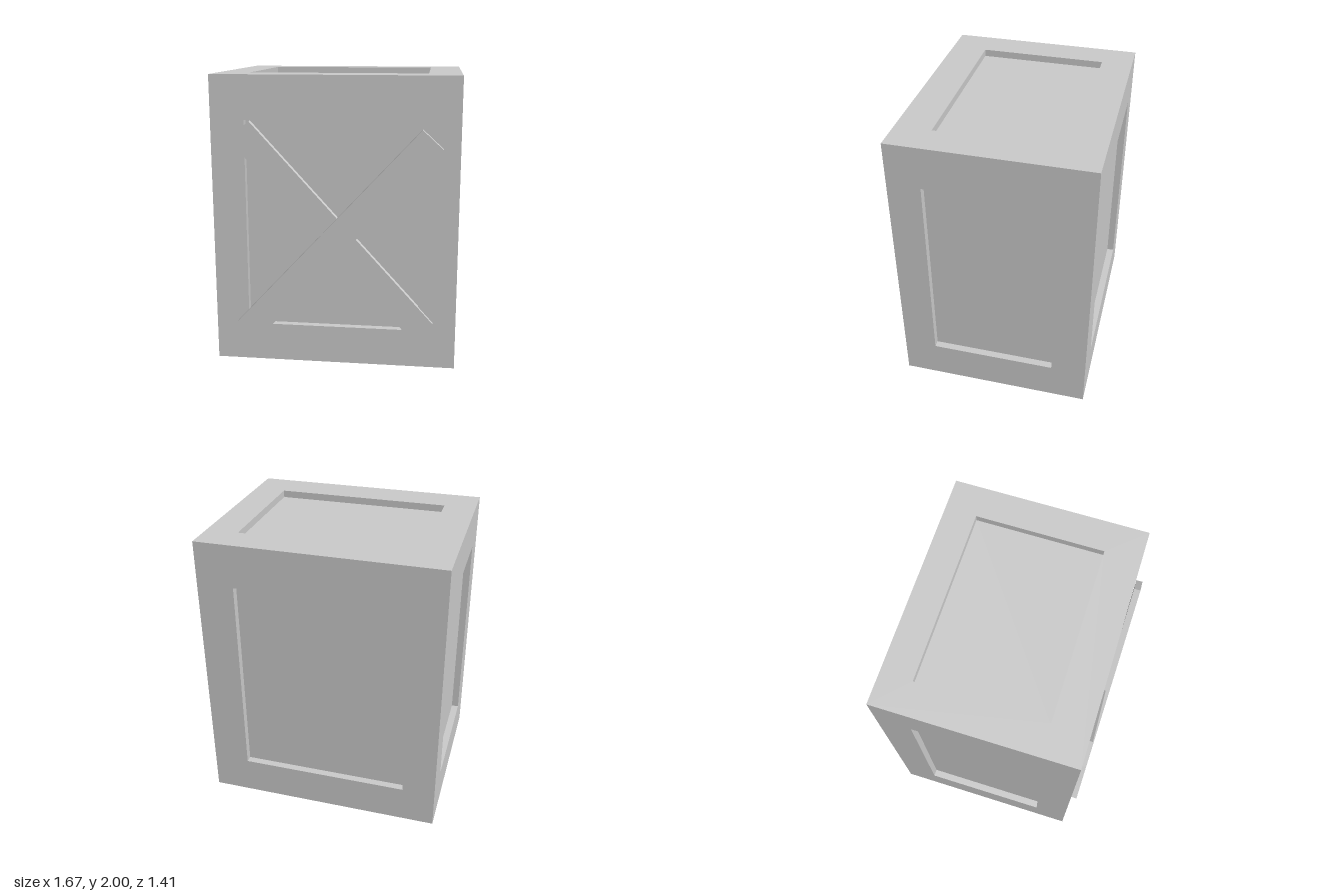
import * as THREE from 'three';

const V = (x, y, z) => new THREE.Vector3(x, y, z);
const DEPTH = 0.05;

// One crate side: a flat border, four recess walls and a recessed floor.
// Rectangles are [u0, u1, v0, v1]; the side lies at distance d along n = u x v.
function recessedSide(u, v, d, outer, hole) {
  const n = u.clone().cross(v);
  const ring = ([u0, u1, v0, v1], h) =>
    [[u0, v0], [u1, v0], [u1, v1], [u0, v1]].map(([a, b]) =>
      V(0, 0, 0).addScaledVector(u, a).addScaledVector(v, b).addScaledVector(n, h));
  const rings = [ring(outer, d), ring(hole, d), ring(hole, d - DEPTH)];
  const pos = [];
  const quad = (a, b, c, e) => [a, b, c, a, c, e].forEach((p) => pos.push(p.x, p.y, p.z));
  for (let r = 0; r < 2; r++) {
    for (let i = 0; i < 4; i++) {
      const j = (i + 1) % 4;
      quad(rings[r][i], rings[r][j], rings[r + 1][j], rings[r + 1][i]);
    }
  }
  quad(...rings[2]);
  const g = new THREE.BufferGeometry();
  g.setAttribute('position', new THREE.Float32BufferAttribute(pos, 3));
  g.computeVertexNormals();
  return g;
}

export function createModel() {
  const group = new THREE.Group();
  const grey = new THREE.MeshStandardMaterial({ color: 0xcccccc });
  grey.name = 'grey';
  const add = (name, geometry) => {
    const mesh = new THREE.Mesh(geometry, grey);
    mesh.name = name;
    group.add(mesh);
    return mesh;
  };

  // Crate body: half width, height, front and back
  const W = 0.835, H = 2, F = 0.65, B = 0.705;
  const X = V(1, 0, 0), Y = V(0, 1, 0), Z = V(0, 0, 1);
  const nX = V(-1, 0, 0), nZ = V(0, 0, -1);
  add('frontSide', recessedSide(X, Y, F, [-W, W, 0, H], [-0.605, 0.578, 0.265, 1.7]));
  add('backSide', recessedSide(nX, Y, B, [-W, W, 0, H], [-0.578, 0.605, 0.265, 1.7]));
  add('leftSide', recessedSide(nZ, Y, W, [-F, B, 0, H], [-0.418, 0.46, 0.275, 1.7]));
  add('rightSide', recessedSide(Z, Y, W, [-B, F, 0, H], [-0.46, 0.418, 0.275, 1.7]));
  add('lid', recessedSide(X, nZ, H, [-W, W, -F, B], [-0.612, 0.612, -0.4, 0.487]));
  add('base', recessedSide(X, Z, 0, [-W, W, -B, F], [-0.612, 0.612, -0.487, 0.4]));

  // Crossed planks on the front, one lapped over the other
  const plank = (name, x0, y0, x1, y1, z0, z1) => {
    const length = Math.hypot(x1 - x0, y1 - y0);
    const mesh = add(name, new THREE.BoxGeometry(length, 0.188, z1 - z0));
    mesh.position.set((x0 + x1) / 2, (y0 + y1) / 2, (z0 + z1) / 2);
    mesh.rotation.z = Math.atan2(y1 - y0, x1 - x0);
  };
  plank('lowerPlank', -0.635, 1.633, 0.61, 0.265, 0.633, 0.677);
  plank('upperPlank', -0.603, 0.233, 0.655, 1.593, 0.66, 0.705);

  return group;
}
